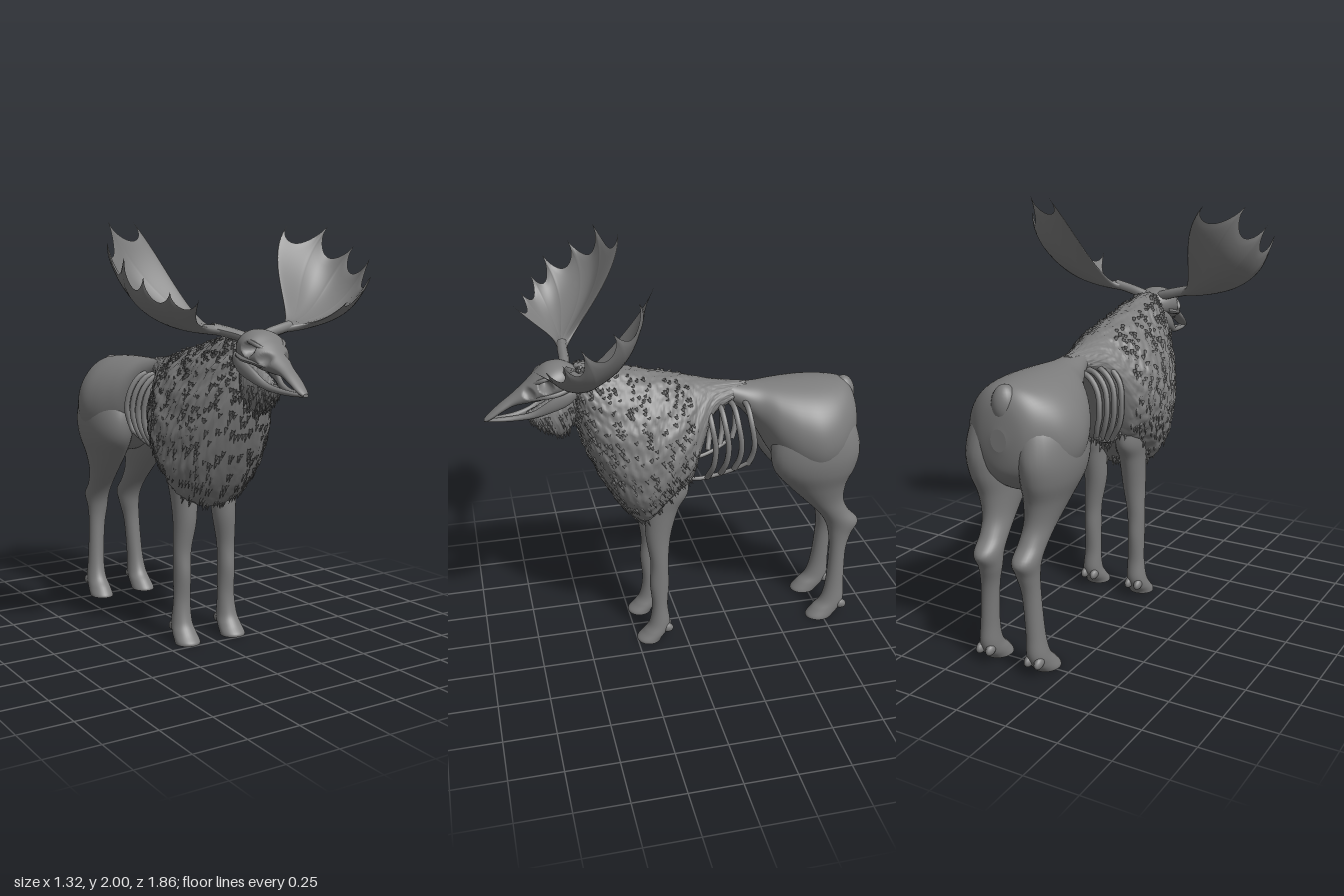
import * as THREE from 'three';
import { mergeGeometries } from 'three/addons/utils/BufferGeometryUtils.js';

const V = (x, y, z) => new THREE.Vector3(x, y, z);
const material = new THREE.MeshStandardMaterial({ color: 0x7c7c7c, side: THREE.DoubleSide });

let seed = 7;
const rand = () => (seed = (seed * 16807) % 2147483647) / 2147483647;

// smooth interpolation between rows of numbers, u in 0..1
function sample(rows, u) {
  const f = u * (rows.length - 1), i = Math.min(Math.floor(f), rows.length - 2), t = f - i;
  const at = k => rows[Math.max(0, Math.min(rows.length - 1, k))];
  return rows[0].map((_, c) => {
    const a = at(i - 1)[c], b = at(i)[c], d = at(i + 1)[c], e = at(i + 2)[c];
    return b + 0.5 * t * (d - a + t * (2 * a - 5 * b + 4 * d - e + t * (3 * (b - d) + e - a)));
  });
}

// skin over closed rings of points, with optional flat caps; faces are turned outward by signed volume
function skin(rings, capped = true) {
  const n = rings[0].length, pts = rings.flat(), index = [];
  for (let r = 0; r < rings.length - 1; r++)
    for (let k = 0; k < n; k++) {
      const a = r * n + k, b = r * n + (k + 1) % n;
      index.push(a, b, a + n, b, b + n, a + n);
    }
  if (capped) [[rings[0], false], [rings[rings.length - 1], true]].forEach(([ring, end]) => {
    const base = pts.length;
    pts.push(...ring, ring.reduce((s, p) => s.add(p), V(0, 0, 0)).divideScalar(n));
    for (let k = 0; k < n; k++) {
      const a = base + k, b = base + (k + 1) % n;
      index.push(...(end ? [a, b, base + n] : [b, a, base + n]));
    }
  });
  let volume = 0;
  for (let i = 0; i < index.length; i += 3)
    volume += pts[index[i]].dot(V(0, 0, 0).crossVectors(pts[index[i + 1]], pts[index[i + 2]]));
  if (volume < 0) index.reverse();
  const g = new THREE.BufferGeometry().setFromPoints(pts);
  g.setIndex(index);
  g.computeVertexNormals();
  return g;
}

// body sections across z: [z, xCentre, top, bottom, halfWidth]
function zPoint(rows, u, a, pear = 0) {
  const [z, x, top, bottom, w] = sample(rows, u);
  return V(x + w * Math.sin(a) * (1 - pear * Math.cos(a)),
    (top + bottom) / 2 + (top - bottom) / 2 * Math.cos(a), z);
}
function zLoft(rows, steps, sides, pear = 0, shift = p => p) {
  return skin(Array.from({ length: steps + 1 }, (_, i) => Array.from({ length: sides }, (_, k) => {
    const a = k / sides * Math.PI * 2;
    return shift(zPoint(rows, i / steps, a, pear), i / steps, a);
  })));
}

// leg sections across y: [y, xCentre, halfWidth, zFront, zBack]
function legLoft(rows) {
  return skin(Array.from({ length: 85 }, (_, i) => {
    const [y, x, w, f, b] = sample(rows, i / 84);
    return Array.from({ length: 32 }, (_, k) => {
      const a = k / 32 * Math.PI * 2;
      return V(x + w * Math.sin(a), Math.max(0, y), (f + b) / 2 + (f - b) / 2 * Math.cos(a));
    });
  }));
}

const tube = (pts, r) => new THREE.TubeGeometry(new THREE.CatmullRomCurve3(pts.map(p => V(...p))), 24, r, 8);

function mirrored(g) {
  const m = g.clone().scale(-1, 1, 1);
  m.setIndex(Array.from(g.index.array).reverse());
  m.computeVertexNormals();
  return m;
}

// hair tuft: a small cone rooted at p and pointing along dir
function tuft(p, dir, length, radius) {
  const g = new THREE.ConeGeometry(radius, length, 6, 1, true).translate(0, length * 0.2, 0);
  g.applyQuaternion(new THREE.Quaternion().setFromUnitVectors(V(0, 1, 0), dir.normalize()));
  return g.translate(p.x, p.y, p.z);
}

// dished antler palm with pointed tines along its rim, each ray a cubic curve from stem to rim
function antlerPalm() {
  const tips = [[.425, 2.0, .205], [.595, 1.995, .30], [.66, 1.90, .42], [.65, 1.84, .55],
    [.60, 1.76, .62], [.51, 1.70, .68], [.40, 1.67, .73]];
  const bends = [[.27, 1.85, .20], [.51, 1.72, .21], [.62, 1.60, .42], [.52, 1.55, .57], [.36, 1.54, .60]];
  const point = (s, t) => new THREE.CubicBezierCurve3(V(.17, 1.531, .507 + .043 * s),
    V(.29 + .07 * Math.sin(Math.PI * s), 1.55 - .02 * Math.sin(Math.PI * s), .48 + .07 * s),
    V(...sample(bends, s)), V(...sample(tips, s))).getPoint(t);
  const N = 144, T = 28, rings = [];
  for (let j = 0; j <= T; j++) {
    const ring = [];
    for (let k = 0; k < 2 * N; k++) {
      const s = k <= N ? k / N : 2 - k / N, face = k <= N ? 1 : -1;
      const reach = 1 - 0.15 * Math.max(0, Math.sin(Math.PI * ((s * 6) % 1))) ** 0.6;
      const t = j / T * reach, e = 0.01, sm = Math.min(Math.max(s, e), 1 - e), tm = Math.max(t, 0.03);
      const normal = point(sm + e, tm).sub(point(sm - e, tm))
        .cross(point(sm, tm + e).sub(point(sm, tm - e))).normalize();
      const thick = (0.009 + 0.015 * (1 - j / T) ** 2) * Math.sqrt(Math.max(0, Math.sin(Math.PI * s)))
        * Math.sqrt(1 - (j / T) ** 6);
      ring.push(point(s, t).addScaledVector(normal, face * thick));
    }
    rings.push(ring);
  }
  return skin(rings, false);
}

export function createModel() {
  const model = new THREE.Group();
  const add = (name, g) => {
    const m = new THREE.Mesh(g, material);
    m.name = name;
    model.add(m);
  };
  const pair = (name, g) => { add(name + 'Left', g); add(name + 'Right', mirrored(g)); };

  // shaggy neck, chest and shoulders, tapering to a point along the back
  const mane = [[.505, 0, 1.49, 1.30, .05], [.49, 0, 1.515, 1.18, .09], [.44, 0, 1.51, 1.02, .155],
    [.36, 0, 1.495, .85, .215], [.28, 0, 1.475, .73, .25], [.2, 0, 1.455, .67, .27], [.12, 0, 1.435, .74, .272],
    [.04, 0, 1.415, .82, .25], [-.03, 0, 1.40, .88, .215], [-.09, 0, 1.385, 1.05, .165],
    [-.15, 0, 1.37, 1.2, .11], [-.24, 0, 1.355, 1.25, .07], [-.33, 0, 1.345, 1.28, .03]];
  const pear = .19;
  add('shaggyForebody', zLoft(mane, 120, 128, pear, (p, u, a) => {
    const b = Math.min(a, Math.PI * 2 - a), fade = u < .7 ? 1 : .35;
    const d = fade * (.004 * (Math.sin(b * 13 + 31 * u) + Math.sin(b * 29 - 47 * u + 2) * Math.sin(b * 7 + 71 * u))
      + .006 * rand());
    return p.add(V(Math.sin(a) * d, Math.cos(a) * d * .6, 0));
  }));
  const tufts = [];
  for (let i = 0; i < 420; i++) {
    const u = .05 + rand() * .62, a = .3 + rand() * 2.82;
    const p = zPoint(mane, u, a, pear), dir = V(Math.sin(a) * .12, -.8, -.35);
    const length = .03 + .02 * rand() + (a > 2.6 ? .012 : 0);
    tufts.push(tuft(p, dir, length, .010), tuft(V(-p.x, p.y, p.z), V(-dir.x, dir.y, dir.z), length, .010));
  }
  add('maneTufts', mergeGeometries(tufts));

  // bare back and rounded hindquarters
  add('hindquarters', zLoft([[-.2, 0, 1.36, 1.27, .05], [-.3, 0, 1.342, 1.21, .08], [-.38, 0, 1.337, 1.10, .12],
    [-.46, 0, 1.337, .96, .195], [-.55, 0, 1.337, .86, .25], [-.65, 0, 1.335, .82, .275], [-.75, 0, 1.328, .83, .25],
    [-.83, 0, 1.312, .88, .185], [-.875, 0, 1.25, .94, .12], [-.893, 0, 1.14, 1.04, .04]], 64, 64));
  add('tail', new THREE.SphereGeometry(1, 24, 16).scale(.06, .09, .058).translate(0, 1.235, -.835));

  // legs, the hind pair starting as broad haunches
  pair('frontLeg', legLoft([[1.0, .12, .06, .2, .0], [.85, .115, .07, .215, -.02], [.75, .112, .063, .2, .03],
    [.6, .112, .057, .195, .07], [.45, .125, .045, .175, .085], [.33, .127, .042, .18, .083], [.2, .127, .043, .17, .09],
    [.1, .13, .05, .185, .08], [.05, .13, .058, .215, .095], [.015, .13, .062, .248, .12], [0, .13, .062, .25, .128]]));
  pair('hindLeg', legLoft([[1.26, .06, .07, -.56, -.78], [1.2, .09, .105, -.50, -.83], [1.11, .118, .128, -.455, -.868],
    [1.0, .134, .126, -.433, -.89], [.9, .133, .115, -.457, -.875],
    [.8, .12, .092, -.54, -.84], [.7, .11, .07, -.635, -.835], [.62, .103, .062, -.71, -.87], [.55, .1, .06, -.755, -.928],
    [.48, .1, .053, -.775, -.895], [.38, .11, .044, -.782, -.868], [.2, .122, .043, -.77, -.865],
    [.1, .127, .05, -.745, -.868], [.05, .128, .056, -.70, -.85], [.015, .13, .06, -.67, -.82],
    [0, .13, .06, -.665, -.805]]));
  for (const [name, z] of [['frontDewclaw', .1], ['hindDewclaw', -.845]])
    pair(name, mergeGeometries([-.026, .026].map(dx =>
      new THREE.SphereGeometry(1, 12, 10).scale(.02, .026, .036).rotateX(-.4).translate(.13 + dx, .068, z))));

  // exposed ribs, joined along the bottom
  for (let i = 0; i < 4; i++) {
    const z = -.105 - i * .065, w = .184 - .003 * i;
    pair('rib' + (i + 1), tube([[.02, 1.27, z], [.1, 1.26, z - .012], [w - .02, 1.195, z - .02], [w, 1.09, z - .033],
      [w - .015, .99 + .01 * i, z - .028], [.115 + .01 * i, .9 + .022 * i, z - .01]], .0145));
  }
  pair('ribMargin', tube([[.06, .9, .02], [.105, .895, -.06], [.11, .905, -.15], [.13, .94, -.25], [.155, .985, -.325]], .011));

  // skull with hollow eye sockets, long snout and separate jaw
  const hollow = (p, y, z, r, depth) => {
    const d = Math.hypot(p.y - y, p.z - z) / r;
    if (d < 1) p.x *= 1 - depth * (1 - d * d);
  };
  add('skull', zLoft([[.48, 0, 1.49, 1.41, .045], [.52, 0, 1.515, 1.385, .08], [.57, 0, 1.532, 1.375, .103],
    [.63, 0, 1.522, 1.365, .11], [.68, 0, 1.485, 1.35, .092], [.73, 0, 1.44, 1.342, .064], [.79, 0, 1.39, 1.332, .041],
    [.85, 0, 1.345, 1.302, .035], [.9, 0, 1.303, 1.272, .027], [.928, 0, 1.277, 1.262, .013]], 80, 64, 0, p => {
    hollow(p, 1.45, .642, .034, .65);
    hollow(p, 1.41, .72, .03, .35);
    return p;
  }));
  pair('browRidge', tube([[.05, 1.51, .57], [.08, 1.488, .615], [.078, 1.473, .66], [.05, 1.45, .69]], .01));
  pair('cheekbone', tube([[.085, 1.42, .54], [.098, 1.405, .60], [.086, 1.395, .66], [.05, 1.375, .72]], .012));
  pair('lowerJaw', zLoft([[.5, .07, 1.43, 1.37, .015], [.55, .075, 1.41, 1.335, .018], [.62, .066, 1.37, 1.305, .016],
    [.7, .042, 1.31, 1.275, .014], [.78, .022, 1.288, 1.262, .015], [.86, .012, 1.28, 1.26, .014],
    [.92, .003, 1.275, 1.262, .008]], 36, 16));

  // beard under the jaw
  const beard = [[.49, 0, 1.42, 1.27, .04], [.53, 0, 1.4, 1.19, .055], [.58, 0, 1.37, 1.155, .052],
    [.64, 0, 1.34, 1.18, .045], [.69, 0, 1.31, 1.22, .033], [.73, 0, 1.29, 1.26, .012]];
  add('beard', zLoft(beard, 40, 40, .1, p => p.add(V(.006 * (rand() - .5), .008 * (rand() - .5), 0))));
  const strands = [];
  for (let i = 0; i < 130; i++) {
    const a = 1.4 + rand() * 3.5, p = zPoint(beard, .05 + rand() * .88, a, .1);
    strands.push(tuft(p, V(Math.sin(a) * .2, -1, -.15), .03 + .02 * rand(), .009));
  }
  add('beardTufts', mergeGeometries(strands));

  // antlers
  pair('antlerPalm', antlerPalm());
  pair('antlerStem', tube([[.03, 1.488, .54], [.09, 1.508, .532], [.15, 1.524, .53], [.21, 1.538, .525]], .025));
  return model;
}
